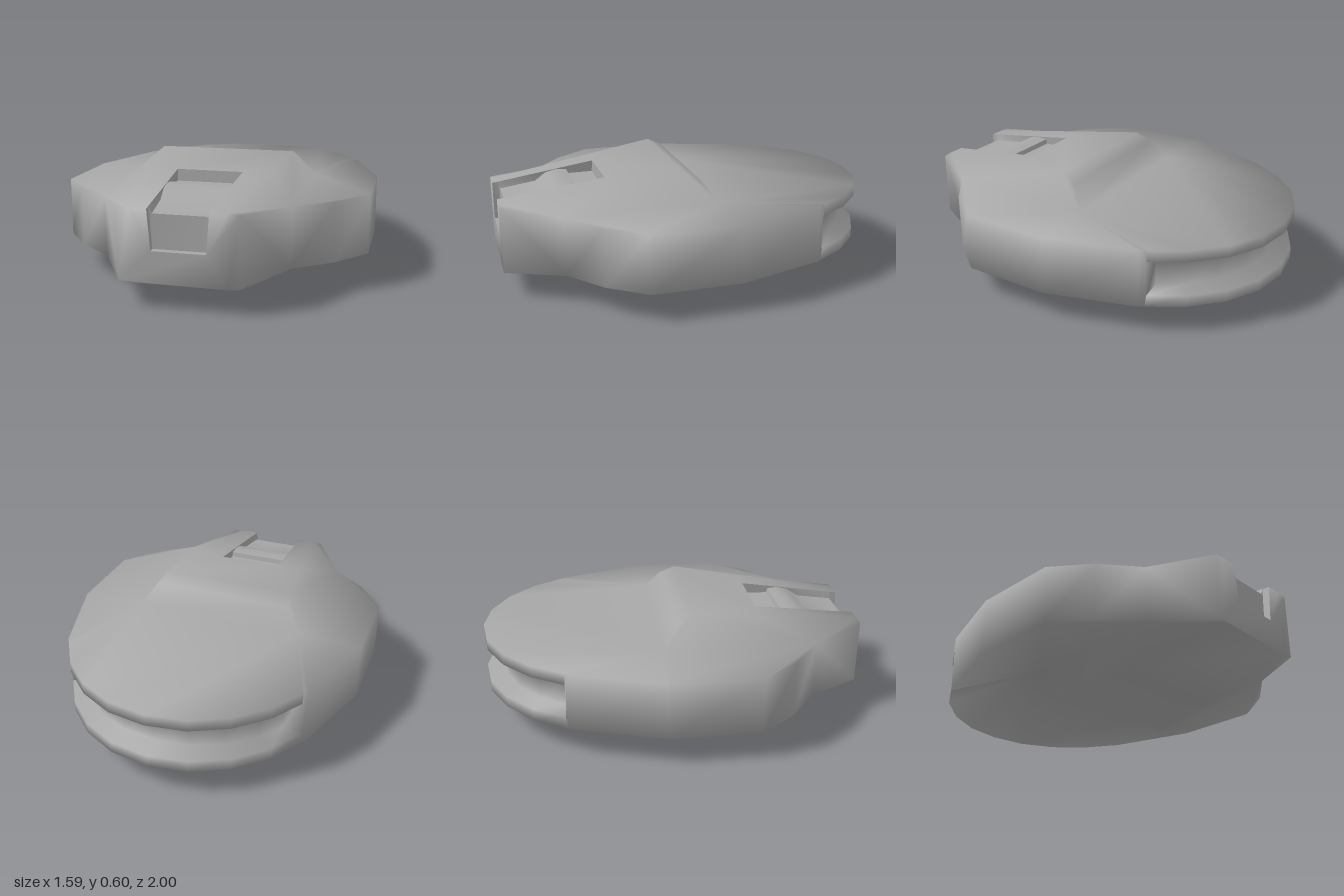
import * as THREE from 'three';
import { mergeGeometries, mergeVertices, toCreasedNormals } from 'three/addons/utils/BufferGeometryUtils.js';

const lerp = THREE.MathUtils.lerp;

function surface(points, index) {
  const geometry = new THREE.BufferGeometry();
  geometry.setAttribute('position', new THREE.Float32BufferAttribute(points.flat(), 3));
  geometry.setIndex(index);
  return geometry;
}

// Joins closed rings of [x, y, z] points; skip(i, j) leaves a quad open
function loft(rings, skip) {
  const n = rings[0].length, index = [];
  for (let i = 0; i < rings.length - 1; i++) {
    for (let j = 0; j < n; j++) {
      if (skip(i, j)) continue;
      const a = i * n + j, b = i * n + (j + 1) % n, c = a + n, d = b + n;
      index.push(a, c, b, b, c, d);
    }
  }
  return surface(rings.flat(), index);
}

// Welds the parts and gives every face the same say in the smooth normals
function weldSmooth(parts) {
  const geometry = mergeVertices(mergeGeometries(parts), 0.0005);
  const position = geometry.attributes.position, index = geometry.index;
  const normals = Array.from({ length: position.count }, () => new THREE.Vector3());
  const triangle = new THREE.Triangle(), faceNormal = new THREE.Vector3();
  const faces = [];
  for (let i = 0; i < index.count; i += 3) {
    const corners = [0, 1, 2].map((k) => index.getX(i + k));
    if (new Set(corners).size < 3) continue;
    faces.push(...corners);
    triangle.setFromAttributeAndIndices(position, ...corners).getNormal(faceNormal);
    corners.forEach((k) => normals[k].add(faceNormal));
  }
  const flat = normals.flatMap((v) => v.normalize().toArray());
  geometry.setAttribute('normal', new THREE.Float32BufferAttribute(flat, 3));
  geometry.setIndex(faces);
  return geometry;
}

// Flat rounded disc, open beneath the hull, with a groove in its rear rim
function discSurface() {
  // x, z, grooved
  const half = [
    [0.46, 0.71, 0], [0.65, 0.56, 0], [0.795, 0.37, 0], [0.795, -0.09, 0], [0.65, -0.55, 0],
    [0.634, -0.575, 0], [0.63, -0.58, 1], [0.53, -0.74, 1], [0.38, -0.88, 1], [0.2, -0.97, 1],
  ];
  const outline = [...half, [0, -1, 1], ...half.map(([x, z, g]) => [-x, z, g]).reverse()];
  // Faces run from the rim to the four corners of the hull's footprint
  const inner = (y) => outline.map(([x, z]) =>
    [x > 0.3 ? 0.46 : -0.46, y, z > 0.2 ? 0.71 : -0.08]);
  const rim = (y) => outline.map(([x, z]) => [x, y, z]);
  // Grooved points step to the lip, the others stay on the edge
  const lip = (edge, y) => outline.map(([x, z, g]) => [x, g ? y : edge, z]);
  const groove = (edge, y) => outline.map(([x, z, g]) =>
    g ? [x * 0.86, y, -0.58 + (z + 0.58) * 0.76] : [x, edge, z]);
  const rings = [
    inner(0.45), rim(0.45), lip(0.45, 0.39), groove(0.45, 0.37),
    groove(0.15, 0.23), lip(0.15, 0.21), rim(0.15), inner(0.15),
  ];
  return loft(rings, (i, j) => j === outline.length - 1);
}

// Heights and half widths of the hull at z
function hullSection(z) {
  const t = Math.max(0, (z - 0.08) / 0.92);
  const nose = Math.max(0, (z - 0.71) / 0.29);
  const rear = z < -0.05 ? [0.45, 0.46] : z < 0.05 ? [0.56, 0.38] : null;
  const [top, topW] = rear ?? [lerp(0.6, 0.475, t), lerp(0.36, 0.23, t)];
  return {
    top, topW, base: lerp(0.45, 0.47, nose), baseW: lerp(0.46, 0.285, nose),
    slotW: z < 0.4 ? topW : lerp(0.185, 0.145, t), nose,
  };
}

// Hull above and below the disc, tapering forward, open along the slot
function hullSurfaces() {
  // z of the top edge, z of the base edge
  const rows = [
    [-0.08, -0.08], [0, -0.08], [0.08, -0.08], [0.08, 0.71], [0.45, 0.71], [1, 0.71], [1, 1],
  ];
  const rings = rows.map(([topZ, baseZ]) => {
    const { top, topW, slotW } = hullSection(topZ);
    const { base, baseW } = hullSection(baseZ);
    const right = [
      [slotW, top, topZ], [topW, top, topZ], [baseW, base, baseZ],
      [baseW, 0.6 - base, baseZ], [topW, 0.6 - top, topZ],
    ];
    return [...right, ...right.map(([x, y, z]) => [-x, y, z]).reverse()];
  });
  // Leave out the slot and the sides buried in the disc
  const shell = loft(rings, (i, j) =>
    (j === 9 && i >= 4) || ((j === 2 || j === 6) && i < 5));

  // Nose face with the notch of the slot, counterclockwise from the front
  const outline = [...rings[rings.length - 1], [-0.13, 0.28, 1], [0.13, 0.28, 1]].reverse();
  const face = outline.map(([x, y]) => new THREE.Vector2(x, y));
  const nose = surface(outline, THREE.ShapeUtils.triangulateShape(face, []).flat());
  return [shell, nose];
}

// Slot lining: ledge, rounded bar, then a plate that drops at the nose
function slotSurface() {
  // z, floor height
  const profile = [
    [0.45, 0.55], [0.453, 0.49], [0.59, 0.49], [0.597, 0.515], [0.65, 0.52],
    [0.71, 0.508], [0.77, 0.465], [0.96, 0.445], [0.963, 0.28], [1, 0.28],
  ];
  const rings = profile.map(([z, floor], i) => {
    const { top, slotW, nose } = hullSection(z);
    const floorW = z < 0.78 ? slotW : lerp(0.15, 0.13, nose);
    const y = i === 0 ? top : Math.min(floor, top);
    return [[-slotW, top, z], [-floorW, y, z], [floorW, y, z], [slotW, top, z]];
  });
  return toCreasedNormals(loft(rings, (i, j) => j === 3), 0.7);
}

export function createModel() {
  const group = new THREE.Group();
  group.name = 'model';
  // Darker grey paint
  const material = new THREE.MeshStandardMaterial({ color: 0xa6a6a6 });
  const parts = {
    body: weldSmooth([discSurface(), ...hullSurfaces()]),
    slot: slotSurface(),
  };
  for (const [name, geometry] of Object.entries(parts)) {
    const mesh = new THREE.Mesh(geometry, material);
    mesh.name = name;
    group.add(mesh);
  }
  return group;
}
